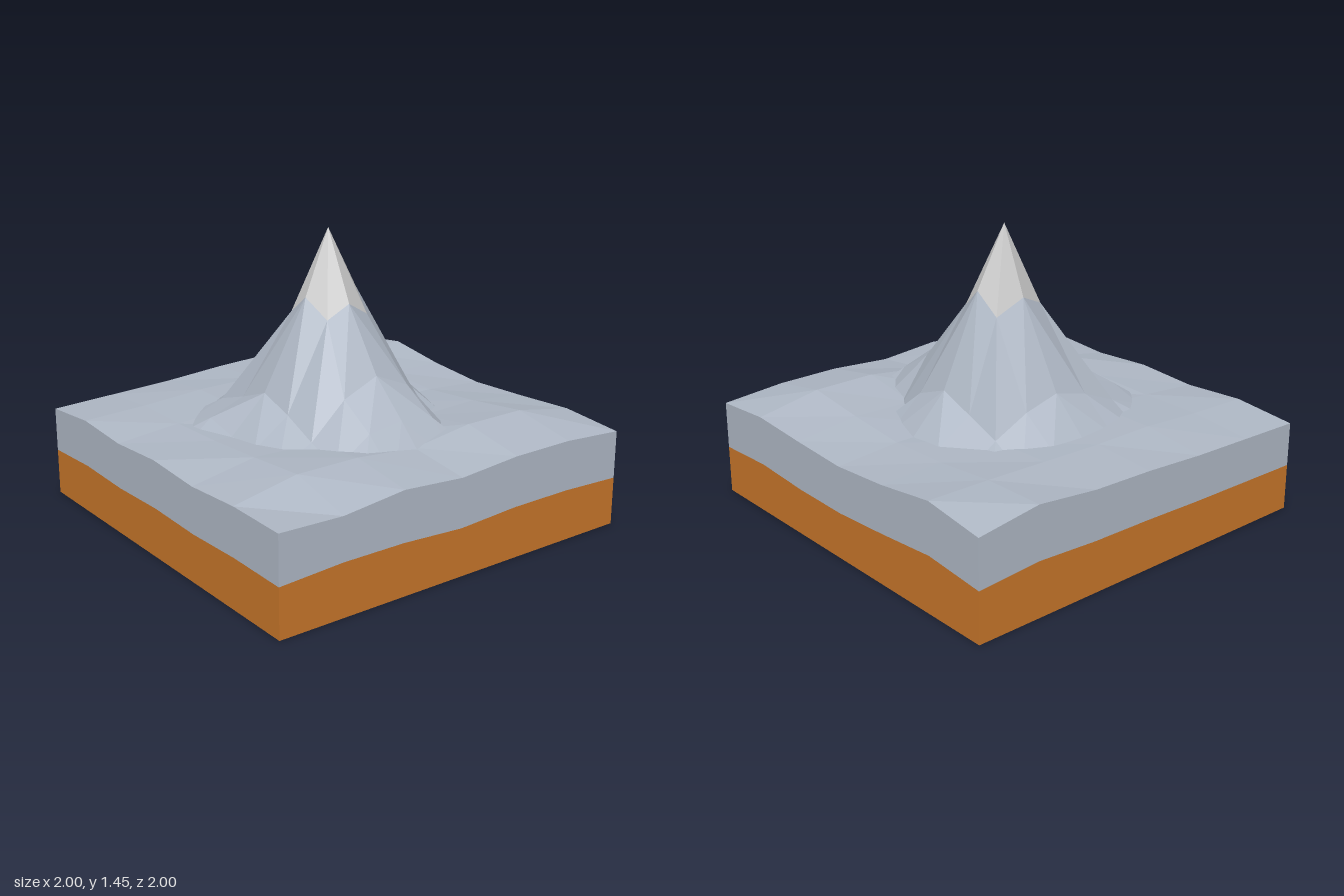
import * as THREE from 'three';

const ROCK = 0xaeb7c4, SOIL = 0xc6752a, SNOW = 0xcccccc;

// Ground heights, rows from back (z = -1) to front (z = 1)
const GROUND = [
  [0.46, 0.47, 0.48, 0.50, 0.51, 0.545, 0.50],
  [0.49, 0.50, 0.52, 0.52, 0.53, 0.54, 0.545],
  [0.47, 0.50, 0.52, 0.52, 0.52, 0.51, 0.50],
  [0.49, 0.51, 0.50, 0.50, 0.50, 0.50, 0.475],
  [0.47, 0.53, 0.52, 0.50, 0.52, 0.53, 0.49],
  [0.49, 0.555, 0.555, 0.525, 0.57, 0.57, 0.51],
  [0.485, 0.475, 0.51, 0.485, 0.51, 0.51, 0.485],
];

// Peak heights on a finer grid, skirts sink below the ground
const PEAK = [
  [0.40, 0.40, 0.40, 0.40, 0.40, 0.40, 0.40, 0.40, 0.40],
  [0.40, 0.42, 0.45, 0.49, 0.51, 0.50, 0.44, 0.40, 0.40],
  [0.40, 0.49, 0.56, 0.64, 0.69, 0.64, 0.55, 0.43, 0.40],
  [0.40, 0.55, 0.62, 1.04, 1.11, 1.04, 0.62, 0.50, 0.40],
  [0.40, 0.51, 0.69, 1.13, 1.45, 1.14, 0.69, 0.50, 0.40],
  [0.40, 0.50, 0.63, 1.035, 1.11, 1.03, 0.62, 0.46, 0.40],
  [0.40, 0.46, 0.55, 0.72, 0.80, 0.72, 0.47, 0.40, 0.40],
  [0.40, 0.40, 0.48, 0.605, 0.63, 0.605, 0.43, 0.40, 0.40],
  [0.40, 0.40, 0.40, 0.44, 0.45, 0.43, 0.40, 0.40, 0.40],
];

// x, z of the snow line vertices, by row
const SNOWLINE = [
  [[-0.155, -0.09], [0, -0.14], [0.16, -0.13]],
  [[-0.15, 0.02], [0, 0], [0.16, 0.01]],
  [[-0.11, 0.14], [-0.01, 0.18], [0.13, 0.14]],
];

// Top and layer-boundary heights along the front and right edges
const FRONT_MID = [0.245, 0.262, 0.26, 0.24, 0.258, 0.258, 0.243];
const RIGHT_MID = [0.255, 0.285, 0.258, 0.237, 0.24, 0.258, 0.243];

function makeMesh(name, points, color) {
  const geo = new THREE.BufferGeometry().setFromPoints(points);
  geo.computeVertexNormals();
  const mesh = new THREE.Mesh(geo, new THREE.MeshStandardMaterial({ color, flatShading: true }));
  mesh.name = name;
  return mesh;
}

// Triangles of a grid surface; flip(i, j) picks the cell diagonal
function gridSurface(n, point, keep, flip) {
  const out = [];
  for (let j = 0; j < n; j++) {
    for (let i = 0; i < n; i++) {
      if (!keep(i, j)) continue;
      const a = point(i, j), b = point(i + 1, j), c = point(i, j + 1), d = point(i + 1, j + 1);
      if (flip(i, j)) out.push(a, c, b, b, c, d);
      else out.push(a, c, d, a, d, b);
    }
  }
  return out;
}

// Vertical band between two height functions, around the square edge
function band(perimeter, low, high) {
  const out = [];
  perimeter.forEach((p, k) => {
    const q = perimeter[(k + 1) % perimeter.length];
    const v = ([i, j], y) => new THREE.Vector3(-1 + i / 3, y, -1 + j / 3);
    const a = v(p, low(p)), b = v(q, low(q)), c = v(q, high(q)), d = v(p, high(p));
    out.push(a, b, c, a, c, d);
  });
  return out;
}

export function createModel() {
  const group = new THREE.Group();
  group.name = 'mountainTile';

  // Rolling ground surface
  const groundPoint = (i, j) => new THREE.Vector3(-1 + i / 3, GROUND[j][i], -1 + j / 3);
  group.add(makeMesh('ground', gridSurface(6, groundPoint, () => true, () => false), ROCK));

  // Edge of the tile: front, right, back, left
  const edge = [];
  for (let k = 0; k < 6; k++) edge.push([k, 6]);
  for (let k = 6; k > 0; k--) edge.push([6, k]);
  for (let k = 6; k > 0; k--) edge.push([k, 0]);
  for (let k = 0; k < 6; k++) edge.push([0, k]);
  const top = ([i, j]) => GROUND[j][i];
  const mid = ([i, j]) => (j === 6 ? FRONT_MID[i] : i === 6 ? RIGHT_MID[j] : top([i, j]) * 0.5 + 0.005);
  group.add(makeMesh('rockLayer', band(edge, mid, top), ROCK));
  group.add(makeMesh('soilLayer', band(edge, () => 0, mid), SOIL));

  // Flat underside
  const base = new THREE.Mesh(
    new THREE.PlaneGeometry(2, 2).rotateX(Math.PI / 2),
    new THREE.MeshStandardMaterial({ color: SOIL, flatShading: true }));
  base.name = 'underside';
  group.add(base);

  // Mountain and its snow cap share one grid
  const peakPoint = (i, j) => {
    const inner = i > 2 && i < 6 && j > 2 && j < 6;
    const [x, z] = inner ? SNOWLINE[j - 3][i - 3] : [(i - 4) * 0.19, (j - 4) * 0.19];
    return new THREE.Vector3(x, PEAK[j][i], z);
  };
  const isSnow = (i, j) => (i === 3 || i === 4) && (j === 3 || j === 4);
  const flip = (i, j) => (i < 4) !== (j < 4);
  group.add(makeMesh('mountain', gridSurface(8, peakPoint, (i, j) => !isSnow(i, j), flip), ROCK));
  group.add(makeMesh('snowCap', gridSurface(8, peakPoint, isSnow, flip), SNOW));

  return group;
}
